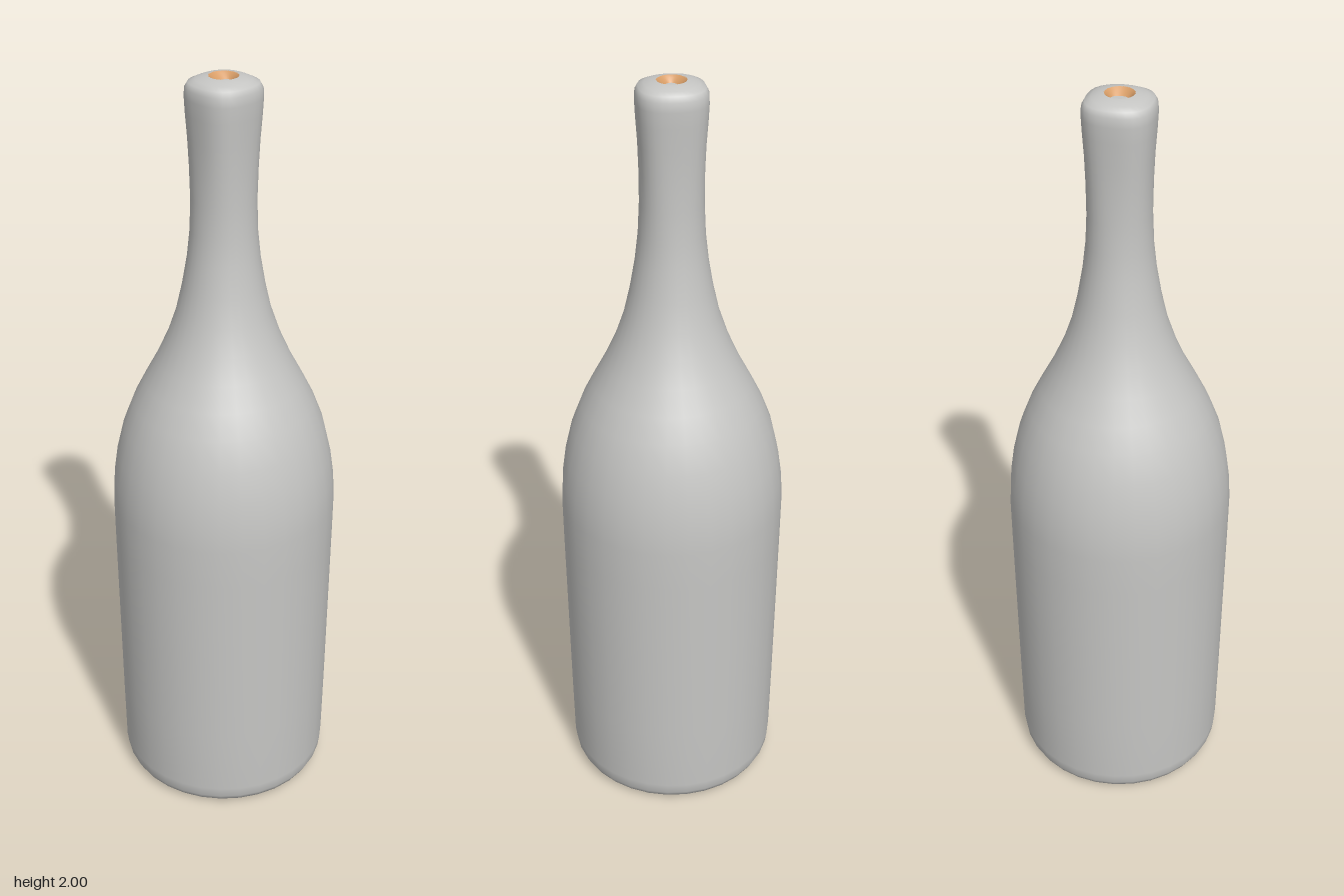
import * as THREE from 'three';
import { mergeVertices, mergeGeometries } from 'three/addons/utils/BufferGeometryUtils.js';

const SIDES = 32;

// Lathe a profile of [radius, height], move its vertices by a rule, then smooth across the seam
function turned(points, rule) {
  const geo = new THREE.LatheGeometry(points.map(([r, y]) => new THREE.Vector2(r, y)), SIDES);
  geo.deleteAttribute('uv');
  geo.deleteAttribute('normal');
  const pos = geo.attributes.position;
  const v = new THREE.Vector3();
  for (let i = 0; i < pos.count; i++) {
    v.fromBufferAttribute(pos, i);
    rule(v);
    pos.setXYZ(i, v.x, v.y, v.z);
  }
  const smooth = mergeVertices(geo, 1e-5);
  smooth.computeVertexNormals();
  return smooth;
}

// The neck grows slightly squarish toward the mouth
function squareNeck(v) {
  const t = THREE.MathUtils.smoothstep(v.y, 1.55, 1.9) * THREE.MathUtils.smoothstep(Math.hypot(v.x, v.z), 0.04, 0.08);
  const k = 1 + 0.04 * t * (1 - Math.cos(4 * Math.atan2(v.z, v.x)));
  v.x *= k;
  v.z *= k;
}

export function createModel() {
  const model = new THREE.Group();
  model.name = 'bottle';
  const glass = new THREE.MeshStandardMaterial({ color: 0xc6c6c4 });
  glass.name = 'grey glass';
  const cork = new THREE.MeshStandardMaterial({ color: 0xd69c66 });
  cork.name = 'cork orange';

  const add = (name, geo, mat) => {
    const mesh = new THREE.Mesh(geo, mat);
    mesh.name = name;
    mesh.position.x = -0.002;
    model.add(mesh);
  };

  // Shell: hollow base, straight body, sloping shoulder, slim neck and rounded lip
  add('bottleShell', turned([
    [0, 0.12], [0.04, 0.112], [0.12, 0.06], [0.19, 0.022], [0.225, 0.008], [0.24, 0.004],
    [0.258, 0.005], [0.272, 0.013], [0.281, 0.03], [0.285, 0.06], [0.288, 0.25], [0.291, 0.5],
    [0.294, 0.75], [0.295, 0.86], [0.291, 0.93], [0.281, 1.0], [0.262, 1.08], [0.235, 1.15],
    [0.205, 1.21], [0.173, 1.27], [0.144, 1.335], [0.12, 1.405], [0.104, 1.475], [0.091, 1.55],
    [0.083, 1.62], [0.079, 1.7], [0.079, 1.78], [0.081, 1.85], [0.085, 1.91], [0.087, 1.95],
    [0.086, 1.973], [0.079, 1.986], [0.065, 1.993], [0.05, 1.998], [0.036, 2.0],
  ], squareNeck), glass);

  // Shallow mouth: sloping ring with an oval opening
  const oval = (v) => { if (v.y < 1.99) v.z *= 0.73; };
  add('corkRing', turned([[0.037, 2.0], [0.03, 1.995], [0.022, 1.985]], oval), cork);
  add('mouthFloor', turned([[0.022, 1.985], [0, 1.985]], oval), glass);

  // Grip ribs around the base rim
  const ribs = [];
  for (let i = 0; i < 72; i++) {
    const rib = new THREE.BoxGeometry(0.026, 0.008, 0.008);
    rib.translate(0.244, 0.004, 0);
    rib.rotateY((i / 72) * Math.PI * 2);
    ribs.push(rib);
  }
  add('baseRibs', mergeGeometries(ribs), glass);

  return model;
}
